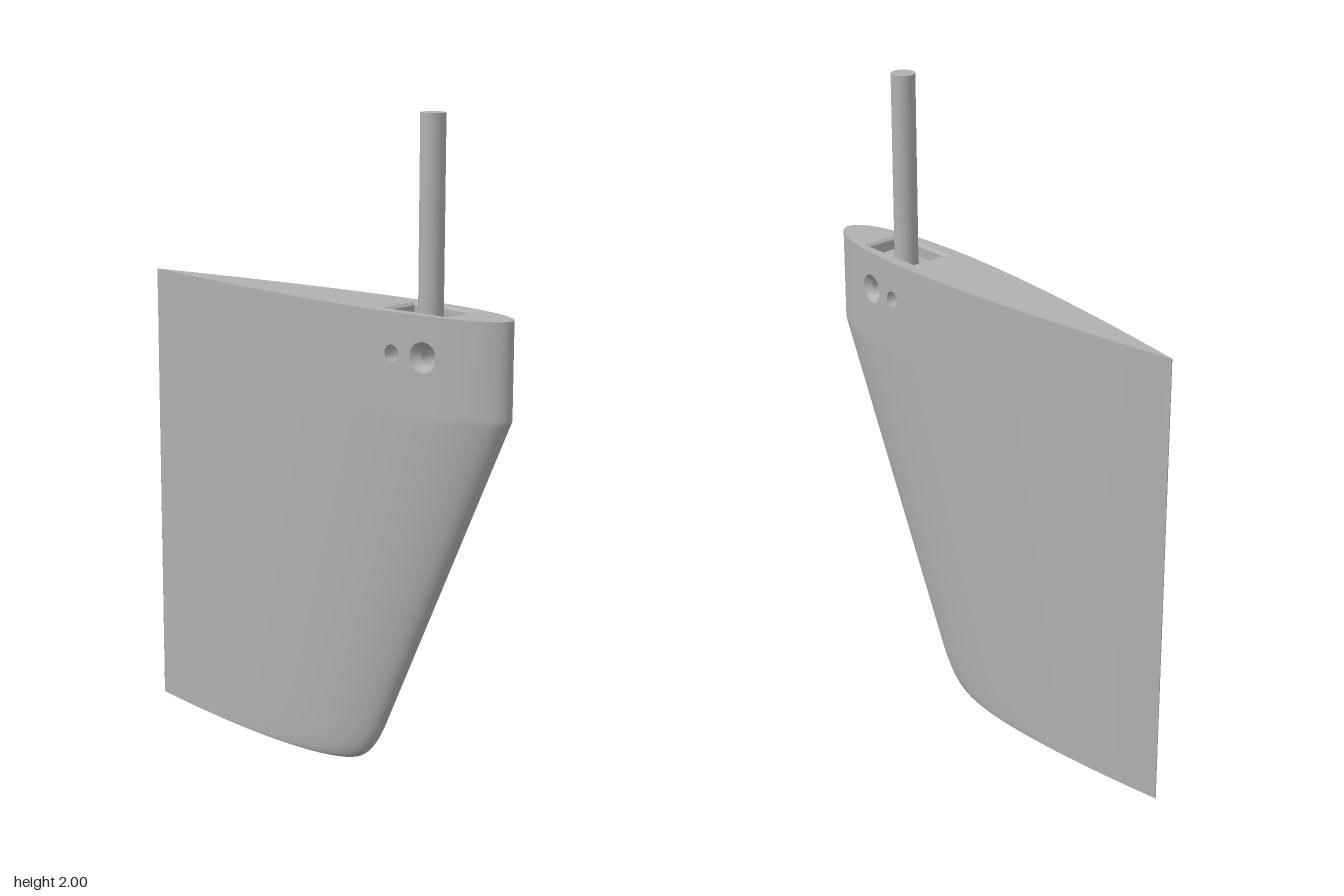
import * as THREE from 'three';
import { mergeVertices } from 'three/addons/utils/BufferGeometryUtils.js';

const LEAD = 0.718, TRAIL = -0.718, CHORD = LEAD - TRAIL, TOP = 1.44;
const HOLE_Y = 1.32, CELL = 0.055, SEG = 32;
const HOLES = [
  { name: 'pinHole', x: 0.37, r: 0.025, bore: 0.025 },
  { name: 'countersunkHole', x: 0.48, r: 0.045, bore: 0.025 },
];
const SHAFT_X = 0.427;

// half thickness of a symmetric 15% foil, u = 0 at the leading edge, 1 at the trailing edge
const half = (u) => Math.max(0.0008 * (u > 0.5 ? 1 : 0),
  0.75 * (0.2969 * Math.sqrt(u) - 0.126 * u - 0.3516 * u * u + 0.2843 * u ** 3 - 0.1036 * u ** 4));
const topZ = (x) => CHORD * half((LEAD - x) / CHORD);

// geometry from quads with counter-clockwise corners; smooth by default
function fromQuads(quads, flat = false) {
  const pos = [];
  for (const [a, b, c, d] of quads) pos.push(...a, ...b, ...c, ...a, ...c, ...d);
  let g = new THREE.BufferGeometry();
  g.setAttribute('position', new THREE.Float32BufferAttribute(pos, 3));
  if (!flat) g = mergeVertices(g, 1e-4);
  g.computeVertexNormals();
  return g;
}

// band between two closed rings, facing inward
function band(r0, r1, flat) {
  return fromQuads(r0.map((a, k) => {
    const n = (k + 1) % r0.length;
    return [a, r0[n], r1[n], r1[k]];
  }), flat);
}

// k-th point of a unit square outline, counter-clockwise
function square(k) {
  const n = SEG / 4, t = ((k % n) / n) * 2 - 1;
  return [[1, t], [-t, 1], [-1, -t], [t, -1]][Math.floor(k / n) % 4];
}
function circle(k) {
  const [x, y] = square(k), l = Math.hypot(x, y);
  return [x / l, y / l];
}

// foil columns, with even steps across the hole cells
function columns() {
  const u0 = (LEAD - 0.535) / CHORD, u1 = (LEAD - 0.315) / CHORD, us = [];
  for (let i = 0; i < 14; i++) us.push(u0 * (i / 14) ** 2);
  for (let i = 0; i < 16; i++) us.push(u0 + (u1 - u0) * i / 16);
  for (let i = 0; i <= 18; i++) us.push(u1 + (1 - u1) * i / 18);
  return us;
}

// leading edge as [x, y]: rounded toe, sloped edge, upright top
function leadingEdge() {
  const toe = new THREE.QuadraticBezierCurve(
    new THREE.Vector2(0.13, 0), new THREE.Vector2(0.2, 0), new THREE.Vector2(0.26, 0.13));
  const rows = toe.getPoints(14).map((p) => [p.x, p.y]);
  for (const t of [0.01, 0.1, 0.25, 0.4, 0.55, 0.7, 0.85, 0.99, 1])
    rows.push([0.26 + (LEAD - 0.26) * t, 0.13 + 1.02 * t]);
  for (const y of [1.16, HOLE_Y - CELL, HOLE_Y + CELL, TOP]) rows.push([LEAD, y]);
  return rows;
}

function skinGeometry(us, rows) {
  const quads = [];
  for (const s of [1, -1]) {
    const add = (a, b, c, d) => quads.push(s > 0 ? [a, b, c, d] : [d, c, b, a]);
    const at = ([lx, y], u) => [lx - u * (lx - TRAIL), y, s * (lx - TRAIL) * half(u)];
    for (let j = 0; j < rows.length - 1; j++)
      for (let i = 0; i < us.length - 1; i++) {
        const inCells = i >= 14 && i < 30 && j === rows.length - 3;
        if (!inCells) add(at(rows[j], us[i + 1]), at(rows[j], us[i]),
          at(rows[j + 1], us[i]), at(rows[j + 1], us[i + 1]));
      }
    // square cells with a round opening
    for (const h of HOLES) {
      const p = (k, t) => {
        const q = square(k), c = circle(k);
        const x = h.x + c[0] * h.r * (1 - t) + q[0] * CELL * t;
        return [x, HOLE_Y + c[1] * h.r * (1 - t) + q[1] * CELL * t, s * topZ(x)];
      };
      for (let k = 0; k < SEG; k++)
        for (const t of [0, 0.5]) add(p(k, t), p(k, t + 0.5), p(k + 1, t + 0.5), p(k + 1, t));
    }
  }
  return fromQuads(quads);
}

// foil outline as a flat shape
function foilShape(lx, us) {
  const c = lx - TRAIL, side = (s) => us.map((u) => new THREE.Vector2(lx - u * c, s * c * half(u)));
  return new THREE.Shape([...side(1), ...side(-1).reverse().slice(0, -1)]);
}

function rectangle(hx, hz) {
  return [[1, -1], [1, 1], [-1, 1], [-1, -1]].map(([a, b]) => new THREE.Vector2(SHAFT_X + a * hx, b * hz));
}

export function createModel() {
  const group = new THREE.Group();
  const grey = new THREE.MeshStandardMaterial({ color: 0xb0b0b0, side: THREE.DoubleSide });
  grey.name = 'grey';
  const add = (name, geometry) => {
    const m = new THREE.Mesh(geometry, grey);
    m.name = name;
    group.add(m);
    return m;
  };
  const us = columns(), rows = leadingEdge();

  // blade
  add('bladeSkin', skinGeometry(us, rows));
  add('trailingEdge', new THREE.PlaneGeometry(0.0024, TOP).rotateY(-Math.PI / 2).translate(TRAIL, TOP / 2, 0));
  add('bladeBottom', new THREE.ShapeGeometry(foilShape(rows[0][0], us)).rotateX(Math.PI / 2));
  const topShape = foilShape(LEAD, us);
  topShape.holes.push(new THREE.Path(rectangle(0.121, 0.069)));
  add('bladeTop', new THREE.ShapeGeometry(topShape).rotateX(-Math.PI / 2).translate(0, TOP, 0));

  // pocket in the top, with a chamfered rim
  const floorY = TOP - 0.04, wellY = TOP - 0.065;
  const ring = (hx, hz, y) => rectangle(hx, hz).map((p) => [p.x, y, -p.y]);
  add('pocketChamfer', band(ring(0.121, 0.069, TOP), ring(0.113, 0.061, TOP - 0.008), true));
  add('pocketWalls', band(ring(0.113, 0.061, TOP - 0.008), ring(0.113, 0.061, floorY), true));
  const floor = new THREE.Shape(rectangle(0.113, 0.061));
  floor.holes.push(new THREE.Path().absarc(SHAFT_X, 0, 0.044, 0, Math.PI * 2));
  add('pocketFloor', new THREE.ShapeGeometry(floor, 16).rotateX(-Math.PI / 2).translate(0, floorY, 0));

  // shaft standing in a round well
  const round = (y) => Array.from({ length: SEG }, (_, k) => {
    const a = (k / SEG) * Math.PI * 2;
    return [SHAFT_X + 0.044 * Math.cos(a), y, -0.044 * Math.sin(a)];
  });
  add('shaftWell', band(round(floorY), round(wellY)));
  add('shaftWellFloor', new THREE.CircleGeometry(0.044, SEG).rotateX(-Math.PI / 2).translate(SHAFT_X, wellY, 0));
  add('shaft', new THREE.CylinderGeometry(0.037, 0.037, 2 - wellY, 40).translate(SHAFT_X, (2 + wellY) / 2, 0));

  // linings of the cross holes
  for (const h of HOLES) {
    const loop = (r, z) => Array.from({ length: SEG }, (_, k) => {
      const [cx, cy] = circle(k), x = h.x + cx * r;
      return [x, HOLE_Y + cy * r, z(x)];
    });
    const rings = [loop(h.r, topZ), loop(h.bore, () => 0.075),
      loop(h.bore, () => -0.075), loop(h.r, (x) => -topZ(x))];
    for (let i = 0; i < 3; i++) add(h.name, band(rings[i], rings[i + 1]));
  }
  return group;
}
